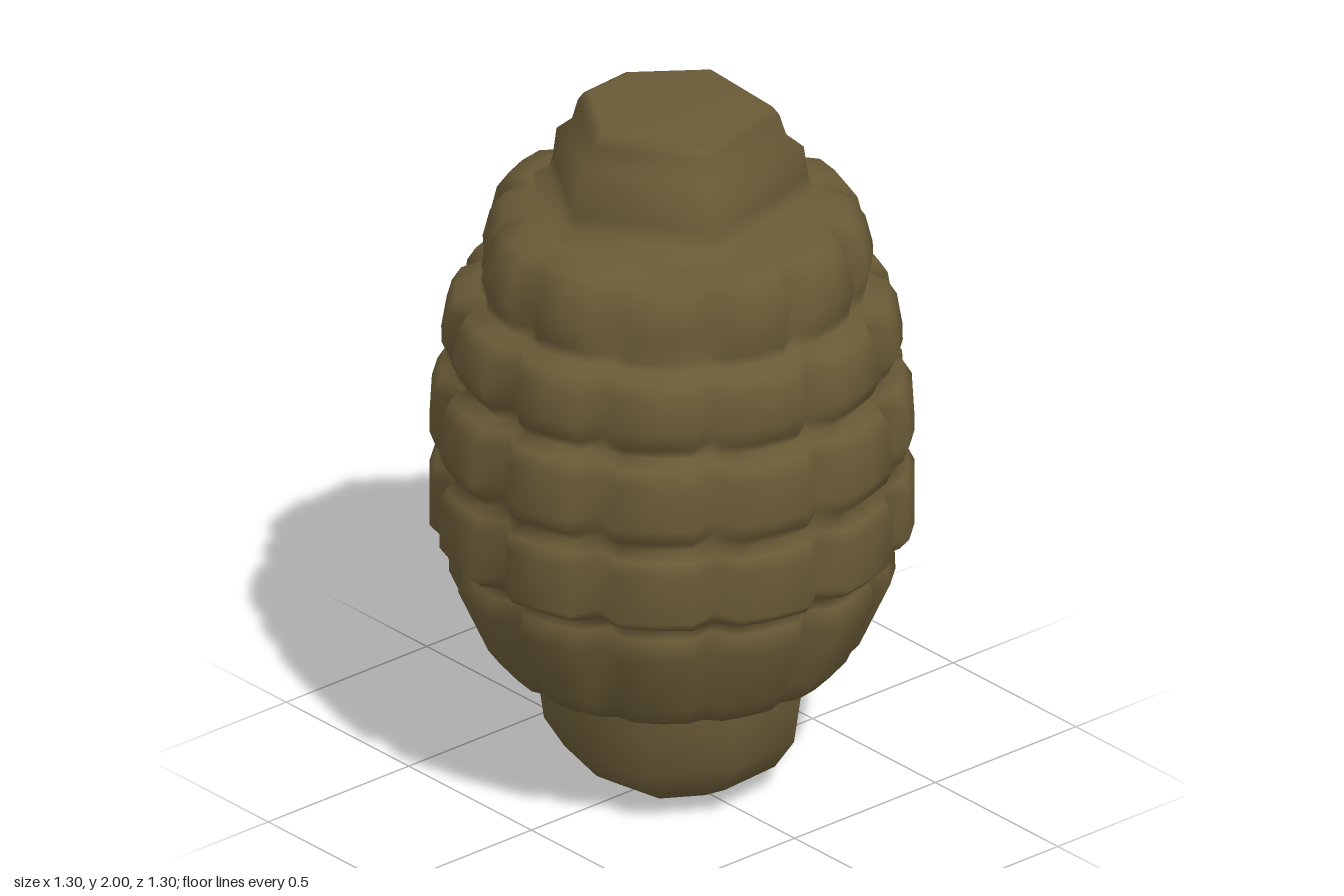
import * as THREE from 'three';

// Closed skin over stacked rings; point(row, column) returns [x, y, z]
function skin(rows, cols, point) {
  const pos = [], idx = [];
  for (let i = 0; i < rows; i++) {
    for (let j = 0; j < cols; j++) pos.push(...point(i, j));
  }
  for (let i = 0; i < rows - 1; i++) {
    for (let j = 0; j < cols; j++) {
      const k = (j + 1) % cols;
      const a = i * cols + j, b = i * cols + k, c = a + cols, d = b + cols;
      idx.push(a, b, d, a, d, c);
    }
  }
  const g = new THREE.BufferGeometry();
  g.setAttribute('position', new THREE.Float32BufferAttribute(pos, 3));
  g.setIndex(idx);
  g.computeVertexNormals();
  return g;
}

// Irregular polygon outline (x, z) scaled along a profile of [scale, y]
const polygonSkin = (outline, profile) =>
  skin(profile.length, outline.length, (i, j) => {
    const [s, y] = profile[i];
    return [outline[j][0] * s, y, outline[j][1] * s];
  });

export function createModel() {
  const group = new THREE.Group();
  const olive = new THREE.MeshStandardMaterial({ color: 0x695a36 });
  olive.name = 'olive brown';
  olive.side = THREE.DoubleSide;
  const add = (name, geometry) => {
    const m = new THREE.Mesh(geometry, olive);
    m.name = name;
    group.add(m);
  };

  // Segmented shell: [y, radius, depth of the upright grooves]
  const shell = [
    [0.36, 0.0, 0], [0.36, 0.36, 0], [0.385, 0.46, 0.02],
    [0.45, 0.515, 0.045], [0.64, 0.6, 0.06], [0.70, 0.585, 0.05],
    [0.73, 0.56, 0.02], [0.75, 0.625, 0.045],
    [0.78, 0.652, 0.065], [0.92, 0.652, 0.065], [0.955, 0.635, 0.05],
    [0.98, 0.6, 0.02], [1.015, 0.635, 0.05],
    [1.06, 0.652, 0.065], [1.18, 0.645, 0.065], [1.22, 0.62, 0.05],
    [1.24, 0.57, 0.02], [1.275, 0.595, 0.05],
    [1.33, 0.62, 0.065], [1.42, 0.605, 0.06], [1.46, 0.58, 0.045],
    [1.475, 0.52, 0.02], [1.51, 0.525, 0.035],
    [1.58, 0.54, 0.06], [1.66, 0.52, 0.055], [1.71, 0.485, 0.04],
    [1.725, 0.42, 0.01], [1.73, 0.32, 0], [1.73, 0, 0],
  ];
  const columns = 12;
  const steps = [0, 0.2, 0.5, 0.8]; // groove, edge, face, edge
  const widths = steps.length;
  add('segmentedShell', skin(shell.length, columns * widths, (i, j) => {
    const k = j % widths;
    const t = (Math.floor(j / widths) + steps[k]) * Math.PI * 2 / columns;
    const [y, radius, depth] = shell[i];
    // The top row is worn down on both sides of the front
    const side = Math.min(t, Math.PI * 2 - t);
    const worn = y > 1.5 && radius > 0.4 ? Math.exp(-(((side - 0.75) / 0.25) ** 2)) : 0;
    const r = radius - (k === 0 ? depth : 0) - 0.035 * worn;
    return [r * Math.sin(t), y - 0.03 * worn, r * Math.cos(t)];
  }));

  // Six-sided neck with a flared foot and a bevelled flat top
  const neck = [
    [-0.01, 0.34], [0.32, 0.13], [0.21, -0.30],
    [-0.16, -0.325], [-0.345, -0.08], [-0.325, 0.14],
  ];
  add('neck', polygonSkin(neck, [
    [1.3, 1.705], [1.04, 1.74], [1.0, 1.79], [0.97, 1.87], [0.84, 1.91],
    [0.79, 1.97], [0.74, 1.995], [0.70, 2.0], [0, 2.0],
  ]));

  // Rounded plug below the shell
  const plug = [
    [0, 0.335], [0.23, 0.29], [0.36, 0.08], [0.34, -0.16],
    [0.15, -0.35], [-0.13, -0.36], [-0.31, -0.2], [-0.365, 0.04], [-0.24, 0.27],
  ];
  add('basePlug', polygonSkin(plug, [
    [0, 0], [0.36, 0.004], [0.50, 0.02], [0.80, 0.085],
    [0.95, 0.17], [1.0, 0.30], [1.0, 0.38],
  ]));

  return group;
}
